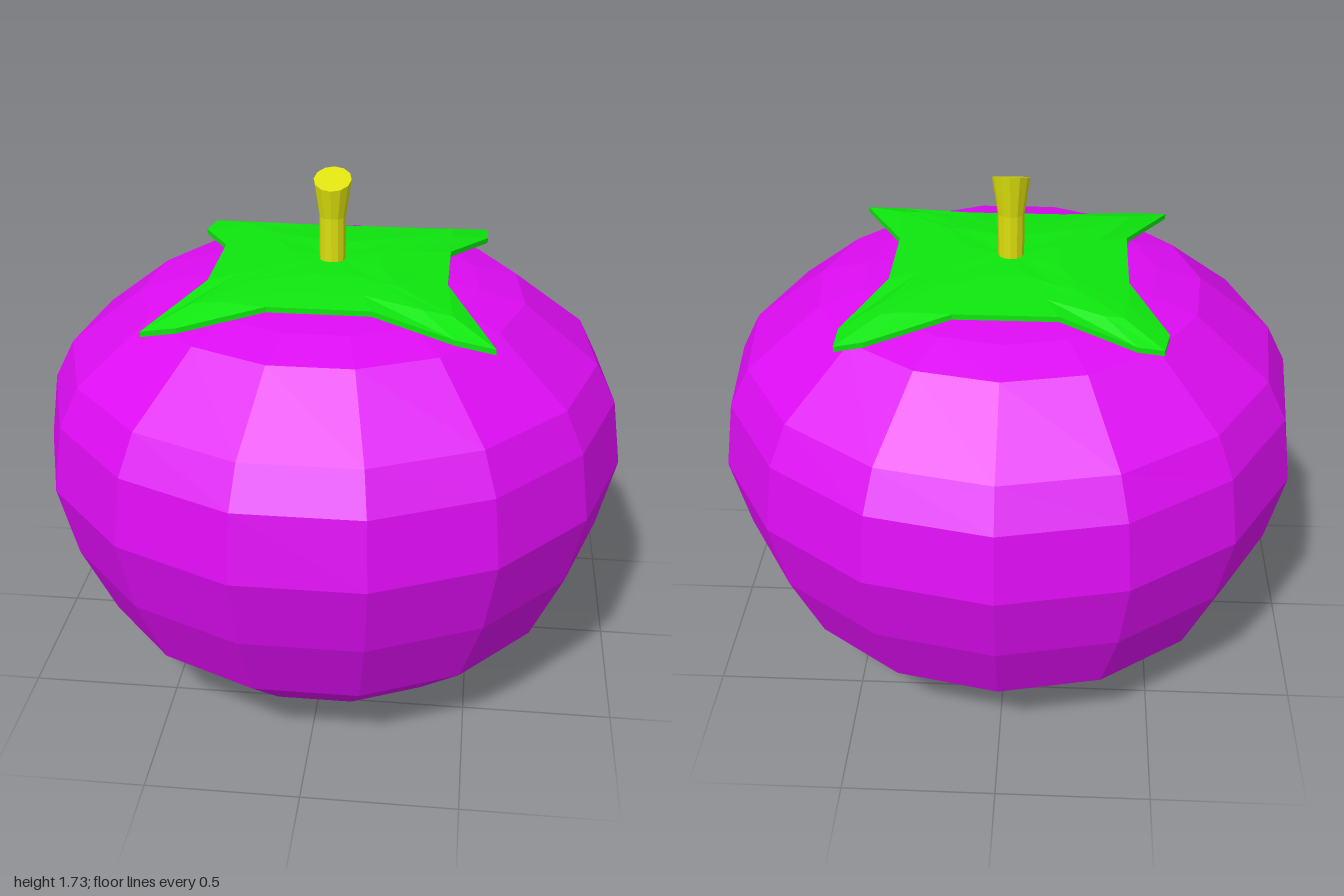
import * as THREE from 'three';

const material = (color, side = THREE.FrontSide) =>
  new THREE.MeshStandardMaterial({ color, flatShading: true, side });

function part(name, geometry, mat) {
  const mesh = new THREE.Mesh(geometry, mat);
  mesh.name = name;
  return mesh;
}

const vectors = (points) => points.map(([x, y]) => new THREE.Vector2(x, y));

// Squat fifteen-sided fruit with a corner at the back and a flat at the front
function fruitGeometry() {
  const profile = vectors([
    [0, 0.003], [0.31, 0.025], [0.61, 0.08], [0.835, 0.28], [0.95, 0.535],
    [1.011, 0.785], [0.978, 1.01], [0.91, 1.14], [0.655, 1.335], [0.5, 1.375],
    [0.33, 1.393], [0, 1.4],
  ]);
  return new THREE.LatheGeometry(profile, 15, Math.PI)
    .scale(0.98, 1, 1)
    .translate(0, 0, 0.011);
}

// Four-pointed leaf: scaled rings of one outline, drooping towards the tips
function leafGeometry() {
  const outline = [
    [-0.17, 0.4], [0.16, 0.4], [0.42, 0.51], [0.545, 0.54], [0.385, 0.16],
    [0.385, -0.15], [0.51, -0.42], [0.51, -0.525], [0.42, -0.505], [0.16, -0.385],
    [-0.17, -0.385], [-0.41, -0.5], [-0.49, -0.51], [-0.51, -0.41], [-0.39, -0.14],
    [-0.39, 0.2], [-0.54, 0.525], [-0.43, 0.51],
  ];
  const droop = (x, z) => {
    const d = Math.max(Math.abs(x), Math.abs(z));
    if (d < 0.17) return 1.443;
    if (d < 0.39) return 1.443 - 0.023 * (d - 0.17) / 0.22;
    return 1.42 - 0.05 * (d - 0.39) / 0.15;
  };
  // Rings run from the top centre out to the rim and back underneath
  const rings = [[0, 0], [0.42, 0], [0.75, 0], [1, 0], [1, 0.018], [0.75, 0.018], [0.42, 0.018], [0, 0.018]];
  const n = outline.length;
  const positions = [];
  const index = [];
  rings.forEach(([scale, drop]) => outline.forEach(([px, pz]) => {
    const x = px * scale, z = pz * scale;
    positions.push(x, droop(x, z) - drop, z);
  }));
  for (let r = 0; r < rings.length - 1; r++) {
    for (let i = 0; i < n; i++) {
      const a = r * n + i, b = r * n + (i + 1) % n;
      const c = a + n, d = b + n;
      if (r < rings.length - 2) index.push(a, c, d);
      if (r > 0) index.push(a, d, b);
    }
  }
  const geometry = new THREE.BufferGeometry();
  geometry.setAttribute('position', new THREE.Float32BufferAttribute(positions, 3));
  geometry.setIndex(index);
  geometry.computeVertexNormals();
  return geometry;
}

// Straight stem flaring to a cut top that slopes down to the front
function stemGeometry() {
  const profile = vectors([[0, 1.4], [0.043, 1.4], [0.044, 1.59], [0.062, 1.713], [0, 1.713]]);
  const geometry = new THREE.LatheGeometry(profile, 12);
  const p = geometry.attributes.position;
  for (let i = 0; i < p.count; i++) {
    if (p.getY(i) > 1.7) p.setY(i, p.getY(i) - p.getZ(i) * 0.38);
  }
  return geometry.translate(-0.003, 0, 0.012);
}

export function createModel() {
  const group = new THREE.Group();
  group.name = 'fruit';
  group.add(
    part('body', fruitGeometry(), material(0xdd0cf2)),
    part('leaf', leafGeometry(), material(0x0ee60e, THREE.DoubleSide)),
    part('stem', stemGeometry(), material(0xdde00c)),
  );
  return group;
}
